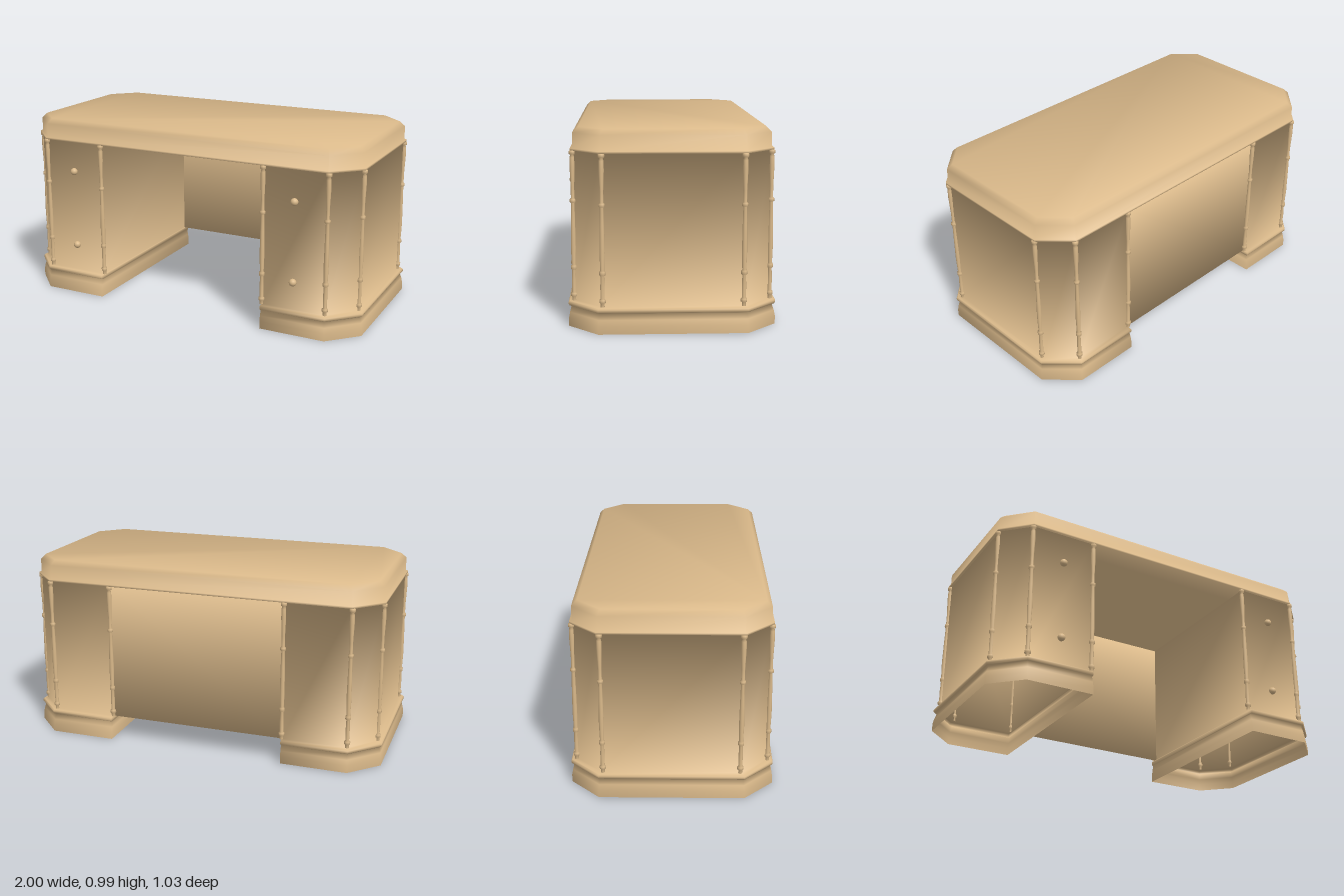
import * as THREE from 'three';

const wood = new THREE.MeshStandardMaterial({ color: 0xdab98a, side: THREE.DoubleSide });
wood.name = 'tan wood';

// Closed cross-sections joined into a softly shaded shell (each face weighs equally in the normals)
function loft(rings, capStart = false, capEnd = false) {
  const n = rings[0].length;
  const pts = rings.flat();
  const normals = pts.map(() => new THREE.Vector3());
  const index = [];
  const addFace = (ids) => {
    const sum = new THREE.Vector3();
    for (let k = 1; k < ids.length - 1; k++) {
      const u = pts[ids[k]].clone().sub(pts[ids[0]]);
      const v = pts[ids[k + 1]].clone().sub(pts[ids[0]]);
      const c = u.cross(v);
      if (c.length() < 1e-9) continue;
      sum.add(c);
      index.push(ids[0], ids[k], ids[k + 1]);
    }
    if (sum.length() < 1e-9) return;
    sum.normalize();
    ids.forEach((i) => normals[i].add(sum));
  };
  for (let i = 0; i < rings.length - 1; i++) {
    for (let j = 0; j < n; j++) {
      const k = (j + 1) % n;
      addFace([i * n + j, i * n + k, (i + 1) * n + k, (i + 1) * n + j]);
    }
  }
  const ids = [...Array(n).keys()];
  if (capStart) addFace([...ids].reverse());
  if (capEnd) addFace(ids.map((j) => (rings.length - 1) * n + j));
  normals.forEach((v) => v.normalize());
  const geo = new THREE.BufferGeometry().setFromPoints(pts);
  geo.setAttribute('normal', new THREE.Float32BufferAttribute(normals.flatMap((v) => v.toArray()), 3));
  geo.setIndex(index);
  return geo;
}

const X = 0.97, Z = 0.485, CUT = 0.135, INNER = 0.49;
const V = (x, y, z) => new THREE.Vector3(x, y, z);

// Pedestal footprint with clipped outer corners, grown outward by d
function pedestalRing(d, y, side) {
  const front = [[INNER, Z + d], [X - CUT + d * 0.5, Z + d], [X + d, Z - CUT + d * 0.5]];
  const all = [...front, ...front.map(([x, z]) => [x, -z]).reverse()];
  const ring = all.map(([x, z]) => V(side * x, y, z));
  return side > 0 ? ring : ring.reverse();
}

// Whole desktop footprint, an octagon
function topRing(d, y) {
  const a = X + d, b = Z + d, ax = X - CUT + d * 0.5, bz = Z - CUT + d * 0.5;
  return [[-ax, b], [ax, b], [a, bz], [a, -bz], [ax, -b], [-ax, -b], [-a, -bz], [-a, bz]]
    .map(([x, z]) => V(x, y, z));
}

export function createModel() {
  const desk = new THREE.Group();
  desk.name = 'desk';
  const add = (name, geo, parent = desk) => {
    const mesh = new THREE.Mesh(geo, wood);
    mesh.name = name;
    parent.add(mesh);
    return mesh;
  };

  // Desktop with a thin lower lip and bevelled rim
  add('desktop', loft([[0.012, 0.879], [0.012, 0.889], [0, 0.89], [0, 0.965], [-0.027, 0.992]]
    .map(([d, y]) => topRing(d, y)), true, true));

  // Back panel between the pedestals
  add('backPanel', loft([-INNER, INNER].map((x) =>
    [[0.88, -0.462], [0.13, -0.462], [0.13, -0.482], [0.88, -0.482]].map(([y, z]) => V(x, y, z)))));

  // Turned post and drawer knob profiles
  const postGeo = new THREE.LatheGeometry([
    [0.010, 0.13], [0.010, 0.148], [0.016, 0.152], [0.016, 0.166], [0.010, 0.172],
    [0.011, 0.23], [0.009, 0.283], [0.015, 0.290], [0.015, 0.306], [0.010, 0.312],
    [0.013, 0.40], [0.011, 0.53], [0.009, 0.620], [0.015, 0.624], [0.015, 0.638],
    [0.009, 0.644], [0.009, 0.70], [0.013, 0.80], [0.012, 0.845], [0.009, 0.857],
    [0.016, 0.862], [0.016, 0.876], [0.010, 0.88],
  ].map(([r, y]) => new THREE.Vector2(r, y)), 10);
  const knobGeo = new THREE.SphereGeometry(0.02, 16, 10);

  for (const side of [1, -1]) {
    const pedestal = new THREE.Group();
    pedestal.name = side > 0 ? 'leftPedestal' : 'rightPedestal';
    desk.add(pedestal);

    // Hollow cabinet rising from a moulded plinth, open underneath
    add('cabinetAndPlinth', loft([
      [0.03, 0], [0.03, 0.04], [0.024, 0.07], [0.014, 0.1], [0.025, 0.104],
      [0.03, 0.112], [0.03, 0.122], [0.024, 0.128], [0, 0.13], [0, 0.88], [0.012, 0.88],
    ].map(([d, y]) => pedestalRing(d, y, side))), pedestal);

    // Posts at every corner
    for (const end of [1, -1]) {
      for (const [x, z] of [[0.488, 0.487], [0.84, 0.487], [0.972, 0.343]]) {
        add('cornerPost', postGeo, pedestal).position.set(side * x, 0, end * z);
      }
    }

    // Drawer knobs on the front
    for (const y of [0.28, 0.71]) {
      add('knob', knobGeo, pedestal).position.set(side * 0.663, y, 0.492);
    }
  }
  return desk;
}
